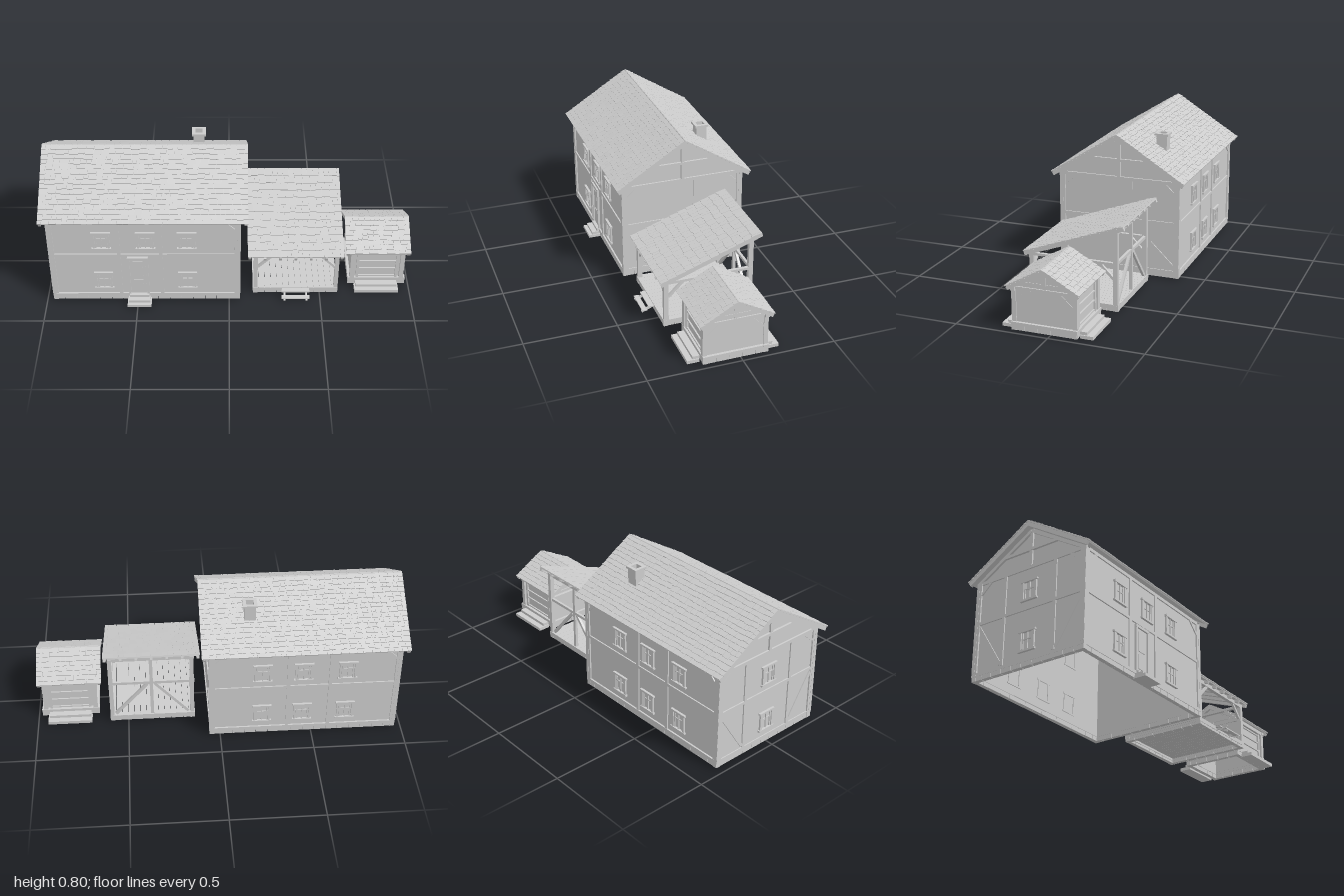
import * as THREE from 'three';
import { mergeGeometries } from 'three/addons/utils/BufferGeometryUtils.js';

const grey = new THREE.MeshStandardMaterial({ color: 0xcccccc });
grey.name = 'plain grey';
const V = (a) => new THREE.Vector3(...a);
const XN = [1, 0, 0], ZN = [0, 0, 1];

let seed = 7;
const rnd = () => (seed = (seed * 16807) % 2147483647) / 2147483647;

function add(parent, name, geo) {
  const m = new THREE.Mesh(geo, grey);
  m.name = name;
  parent.add(m);
  return m;
}
function group(parent, name) {
  const g = new THREE.Group();
  g.name = name;
  parent.add(g);
  return g;
}
// box given by its ranges on x, y and z
function box(parent, name, x0, x1, y0, y1, z0, z1) {
  const g = new THREE.BoxGeometry(x1 - x0, y1 - y0, z1 - z0);
  return add(parent, name, g.translate((x0 + x1) / 2, (y0 + y1) / 2, (z0 + z1) / 2));
}
// timber from a to b: w wide in its plane, d deep along the plane normal
function beamGeo(a, b, w, d, normal) {
  const A = V(a), B = V(b), n = V(normal), dir = B.clone().sub(A);
  const len = dir.length();
  dir.normalize();
  const m = new THREE.Matrix4().makeBasis(dir, n.clone().cross(dir), n);
  m.setPosition(A.add(B).multiplyScalar(0.5));
  return new THREE.BoxGeometry(len, w, d).applyMatrix4(m);
}
const beam = (p, name, a, b, w, d, n) => add(p, name, beamGeo(a, b, w, d, n));

// one roof slope: slab, edge boards and rows of uneven shingles; eave and ridge are [z, y]
function slope(parent, x0, x1, eave, ridge, rows, t, tileW) {
  const E = new THREE.Vector3(0, eave[1], eave[0]), R = new THREE.Vector3(0, ridge[1], ridge[0]);
  const dir = R.clone().sub(E), len = dir.length();
  dir.normalize();
  const n = new THREE.Vector3(0, Math.abs(dir.z), -dir.y * Math.sign(dir.z));
  const at = (s, h) => E.clone().addScaledVector(dir, s).addScaledVector(n, h).toArray();
  const cx = (p, x) => [x, p[1], p[2]];
  const mid = (x0 + x1) / 2;
  beam(parent, 'roofBoards', cx(at(0.004, -0.009), mid), cx(at(len, -0.009), mid), 0.006, x1 - x0 - 0.008, XN);
  for (const x of [x0 + 0.012, x1 - 0.012])
    beam(parent, 'bargeRafter', cx(at(0, -0.01 - t / 2), x), cx(at(len, -0.01 - t / 2), x), t, 0.016, XN);
  const step = len / rows, tiles = [];
  for (let r = 0; r < rows; r++) {
    for (let x = x0; x < x1 - 0.001;) {
      let w = tileW * (0.6 + 0.8 * rnd());
      if (x + w > x1 - tileW * 0.4) w = x1 - x;
      const lift = rnd() * 0.002, slip = r ? rnd() * step * 0.2 : 0;
      const a = at(r * step - slip, -0.003 + lift), b = at(Math.min(len, (r + 1.25) * step), -0.007);
      tiles.push(beamGeo(cx(a, x + w / 2), cx(b, x + w / 2), 0.006, w - 0.0015, XN));
      x += w;
    }
  }
  add(parent, 'shingles', mergeGeometries(tiles));
}

// triangular gable panel, its outer face at x
function gable(parent, x, z0, z1, y0, zr, yr, depth) {
  const s = new THREE.Shape([new THREE.Vector2(z0, y0), new THREE.Vector2(z1, y0), new THREE.Vector2(zr, yr)]);
  add(parent, 'gablePanel', new THREE.ExtrudeGeometry(s, { depth, bevelEnabled: false }).rotateY(-Math.PI / 2)).position.x = x;
}

// ring of foundation stones with corner blocks and sill
function foundation(parent, x0, x1, z0, z1, top) {
  const g = group(parent, 'foundation'), t = 0.03, low = top - 0.018;
  for (const z of [z0, z1 - t]) {
    box(g, 'sill', x0, x1, low, top, z, z + t);
    const n = Math.round((x1 - x0) / 0.066), w = (x1 - x0) / n;
    for (let i = 0; i < n; i++)
      box(g, 'stone', x0 + i * w + 0.001, x0 + (i + 1) * w - 0.001, 0.008, low, z + 0.003, z + t - 0.003);
  }
  for (const x of [x0, x1 - t]) {
    box(g, 'sill', x + 0.002, x + t - 0.002, low, top - 0.001, z0 + t, z1 - t);
    const n = Math.round((z1 - z0) / 0.066), w = (z1 - z0) / n;
    for (let i = 0; i < n; i++)
      box(g, 'stone', x + 0.003, x + t - 0.003, 0.008, low, z0 + i * w + 0.001, z0 + (i + 1) * w - 0.001);
  }
}

// framed window with crossbars, standing on a wall at local z = 0
function window_(parent, x, y) {
  const g = group(parent, 'window');
  g.position.set(x, y, 0);
  const w = 0.04, h = 0.052, f = 0.01;
  for (const s of [-1, 1]) {
    box(g, 'frameSide', s * w - f / 2, s * w + f / 2, -h, h, -0.022, 0.01);
    box(g, 'frameRail', -w - 0.012, w + 0.012, s * h - f / 2, s * h + f / 2, -0.022, 0.013);
    box(g, 'sash', s * 0.029 - 0.004, s * 0.029 + 0.004, -h, h, 0, 0.006);
  }
  box(g, 'mullion', -0.003, 0.003, -h, h, 0, 0.006);
  box(g, 'crossbar', -w, w, 0.008, 0.013, 0, 0.005);
}

// timber framed wall; local z = 0 is the plaster face, x runs along it
function framedWall(parent, name, L, posts, braces) {
  const g = group(parent, name);
  box(g, 'plaster', -L, L, 0.035, 0.555, -0.018, 0);
  for (const s of [-1, 1]) {
    box(g, 'cornerPost', s * (L - 0.007) - 0.016, s * (L - 0.007) + 0.016, 0.05, 0.555, -0.01, 0.008);
    const e = s * (L - 0.02);
    if (braces) beam(g, 'upperBrace', [e, 0.485, 0], [e - s * 0.07, 0.55, 0], 0.014, 0.012, ZN);
  }
  box(g, 'middleRail', -L, L, 0.312, 0.328, -0.004, 0.007);
  box(g, 'topPlate', -L, L, 0.54, 0.558, -0.004, 0.007);
  for (const [x, a, b] of posts) box(g, 'post', x - 0.009, x + 0.009, a, b, -0.004, 0.007);
  return g;
}

function house(root) {
  const g = group(root, 'house'), cx = -0.4525, cz = -0.016, L = 0.505, D = 0.34;
  foundation(g, -0.965, 0.06, -0.365, 0.333, 0.05);
  const full = (x) => [x, 0.05, 0.55];
  const front = framedWall(g, 'frontWall', L, [full(-0.59 - cx), full(-0.365 - cx)], true);
  front.position.set(cx, 0, cz + D);
  const back = framedWall(g, 'backWall', L, [full(0.59 + cx), full(0.365 + cx)], true);
  back.position.set(cx, 0, cz - D);
  back.rotation.y = Math.PI;
  const right = framedWall(g, 'yardWall', D, [[0.07, 0.32, 0.55]], true);
  right.position.set(cx + L, 0, cz);
  right.rotation.y = Math.PI / 2;
  const left = framedWall(g, 'endWall', D, [full(-0.16), full(0.16)], true);
  left.position.set(cx - L, 0, cz);
  left.rotation.y = -Math.PI / 2;
  // long foot braces
  beam(right, 'footBrace', [0.325, 0.06, 0], [0.18, 0.2, 0], 0.02, 0.012, ZN);
  for (const s of [-1, 1]) beam(left, 'footBrace', [s * 0.17, 0.06, 0], [s * 0.32, 0.3, 0], 0.018, 0.012, ZN);
  // windows
  for (const x of [-0.68, -0.445, -0.225]) {
    window_(front, x - cx, 0.418);
    window_(back, cx - x, 0.418);
    window_(back, cx - x, 0.142);
    if (x !== -0.445) window_(front, x - cx, 0.142);
  }
  window_(left, 0, 0.418);
  window_(left, 0, 0.142);
  // door
  const d = group(front, 'door');
  d.position.x = -0.492 - cx;
  for (const s of [-1, 1]) box(d, 'doorJamb', s * 0.05 - 0.006, s * 0.05 + 0.006, 0.05, 0.305, -0.022, 0.012);
  box(d, 'doorLintel', -0.056, 0.056, 0.29, 0.305, -0.022, 0.013);
  box(d, 'doorLeaf', -0.042, 0.042, 0.05, 0.29, -0.02, 0.004);
  for (const [a, b] of [[0.07, 0.15], [0.165, 0.275]]) box(d, 'doorPanel', -0.026, 0.026, a, b, 0, 0.008);
  // stone doorsteps
  [[0.396, 0.004, 0.02], [0.376, 0.02, 0.035], [0.346, 0.035, 0.05]].forEach(([z, a, b], i) =>
    box(g, 'doorstep', -0.555 + i * 0.006, -0.425 - i * 0.006, a, b, 0.32, z));
  // gables with their trusses
  for (const [x, depth, f] of [[0.05, 0.015, 0.054], [-0.94, 0.015, -0.959]]) {
    gable(g, x, cz - 0.355, cz + 0.355, 0.55, cz, 0.775, depth);
    box(g, 'collarBeam', f - 0.008, f + 0.008, 0.643, 0.658, cz - 0.175, cz + 0.175);
    box(g, 'kingPost', f - 0.006, f + 0.006, 0.555, 0.765, cz - 0.009, cz + 0.009);
    for (const s of [-1, 1])
      beam(g, 'trussRafter', [f, 0.548, cz + s * 0.34], [f, 0.757, cz], 0.018, 0.016, XN);
  }
  const roof = group(g, 'houseRoof');
  for (const s of [-1, 1]) slope(roof, -1, 0.1, [cz + s * 0.385, 0.563], [cz, 0.805], 16, 0.02, 0.036);
  // chimney with an open flue
  const ring = (o, i, h) => {
    const sq = (r) => [[-r, -r], [r, -r], [r, r], [-r, r]].map(([a, b]) => new THREE.Vector2(a, b));
    const s = new THREE.Shape(sq(o));
    s.holes.push(new THREE.Path(sq(i)));
    return new THREE.ExtrudeGeometry(s, { depth: h, bevelEnabled: false }).rotateX(-Math.PI / 2);
  };
  const ch = group(g, 'chimney');
  ch.position.set(-0.165, 0, -0.195);
  add(ch, 'chimneyShaft', ring(0.03, 0.02, 0.13)).position.y = 0.627;
  add(ch, 'chimneyCap', ring(0.038, 0.02, 0.012)).position.y = 0.756;
}

function shelter(root) {
  const g = group(root, 'openShelter'), x0 = 0.13, x1 = 0.6, zf = 0.28, zb = -0.215;
  foundation(g, x0, x1, zb, zf, 0.04);
  const planks = 14, w = (x1 - x0) / planks;
  for (let i = 0; i < planks; i++) box(g, 'floorPlank', x0 + i * w, x0 + (i + 1) * w - 0.001, 0.034, 0.044, zb, zf);
  // posts and rails
  for (const x of [0.145, 0.588]) {
    box(g, 'frontPost', x - 0.011, x + 0.011, 0.04, 0.265, 0.252, 0.277);
    box(g, 'backPost', x - 0.011, x + 0.011, 0.04, 0.435, -0.212, -0.187);
    box(g, 'sideRail', x - 0.009, x + 0.009, 0.256, 0.27, -0.2, 0.275);
    beam(g, 'sideBrace', [x, 0.18, 0.25], [x, 0.26, 0.17], 0.014, 0.014, XN);
    beam(g, 'sideBrace', [x, 0.18, -0.19], [x, 0.26, -0.11], 0.014, 0.014, XN);
  }
  box(g, 'frontPlate', x0, x1, 0.254, 0.274, 0.255, 0.275);
  box(g, 'backPlate', x0, x1, 0.42, 0.44, -0.21, -0.19);
  box(g, 'backRail', x0, x1, 0.256, 0.272, -0.207, -0.193);
  box(g, 'backMiddlePost', 0.357, 0.375, 0.04, 0.43, -0.208, -0.192);
  for (const s of [-1, 1]) {
    beam(g, 'backBrace', [0.366 + s * 0.02, 0.255, -0.2], [0.366 + s * 0.2, 0.05, -0.2], 0.016, 0.014, ZN);
    beam(g, 'frontBrace', [0.366 + s * 0.21, 0.185, 0.265], [0.366 + s * 0.14, 0.256, 0.265], 0.013, 0.013, ZN);
  }
  // roof with rafters underneath
  const roof = group(g, 'shelterRoof');
  slope(roof, 0.1, 0.622, [0.303, 0.284], [-0.245, 0.482], 12, 0.018, 0.034);
  for (let i = 1; i < 6; i++) {
    const x = 0.112 + i * 0.0827;
    beam(roof, 'rafter', [x, 0.264, 0.3], [x, 0.461, -0.242], 0.018, 0.014, XN);
  }
  // wooden steps on sloping stringers
  for (const x of [0.305, 0.425]) beam(g, 'stringer', [x, 0.007, 0.345], [x, 0.036, 0.275], 0.012, 0.01, XN);
  box(g, 'tread', 0.288, 0.442, 0.016, 0.022, 0.318, 0.345);
  box(g, 'tread', 0.288, 0.442, 0.034, 0.04, 0.28, 0.31);
}

function hut(root) {
  const g = group(root, 'smallHut'), cz = 0.03, cx = 0.82;
  foundation(g, 0.66, 0.98, cz - 0.178, cz + 0.175, 0.05);
  for (const sx of [-1, 1]) {
    const x = cx + sx * 0.137;
    for (const sz of [-1, 1]) {
      const z = cz + sz * 0.162;
      box(g, 'cornerPost', x - 0.012, x + 0.012, 0.05, 0.225, z - 0.012, z + 0.012);
      beam(g, 'sideBrace', [x + sx * 0.002, 0.155, cz + sz * 0.15], [x + sx * 0.002, 0.222, cz + sz * 0.075], 0.016, 0.014, XN);
      beam(g, 'gableRafter', [x, 0.232, cz + sz * 0.165], [x, 0.327, cz], 0.014, 0.018, XN);
    }
    box(g, 'sidePanel', x - 0.006, x + 0.006, 0.045, 0.225, cz - 0.15, cz + 0.15);
    box(g, 'tieBeam', x - 0.011, x + 0.011, 0.22, 0.235, cz - 0.178, cz + 0.178);
    box(g, 'collarBeam', x - 0.007, x + 0.007, 0.246, 0.262, cz - 0.115, cz + 0.115);
    box(g, 'kingPost', x - 0.008, x + 0.008, 0.235, 0.32, cz - 0.008, cz + 0.008);
    gable(g, x + 0.004, cz - 0.165, cz + 0.165, 0.23, cz, 0.33, 0.008);
  }
  // front and back walls with framed counters and a low step
  for (const s of [-1, 1]) {
    const w = group(g, s > 0 ? 'hutFront' : 'hutBack');
    w.position.set(cx, 0, cz + s * 0.158);
    if (s < 0) w.rotation.y = Math.PI;
    box(w, 'wallPanel', -0.13, 0.13, 0.045, 0.225, -0.01, 0);
    box(w, 'wallPlate', -0.16, 0.16, 0.215, 0.235, -0.006, 0.017);
    for (const x of [-0.108, 0.108]) box(w, 'panelFrame', x - 0.007, x + 0.007, 0.05, 0.215, 0, 0.01);
    for (const y of [0.058, 0.11, 0.16, 0.207]) box(w, 'panelRail', -0.108, 0.108, y - 0.004, y + 0.004, 0, 0.008);
    box(w, 'lowStep', -0.125, 0.118, 0, 0.018, 0.02, s > 0 ? 0.085 : 0.088);
    box(w, 'upperStep', -0.118, 0.112, 0.018, 0.034, 0.018, 0.055);
  }
  const roof = group(g, 'hutRoof');
  for (const s of [-1, 1]) slope(roof, 0.64, 0.996, [cz + s * 0.197, 0.242], [cz, 0.353], 8, 0.016, 0.036);
}

export function createModel() {
  const root = new THREE.Group();
  root.name = 'farmstead';
  house(root);
  shelter(root);
  hut(root);
  return root;
}
